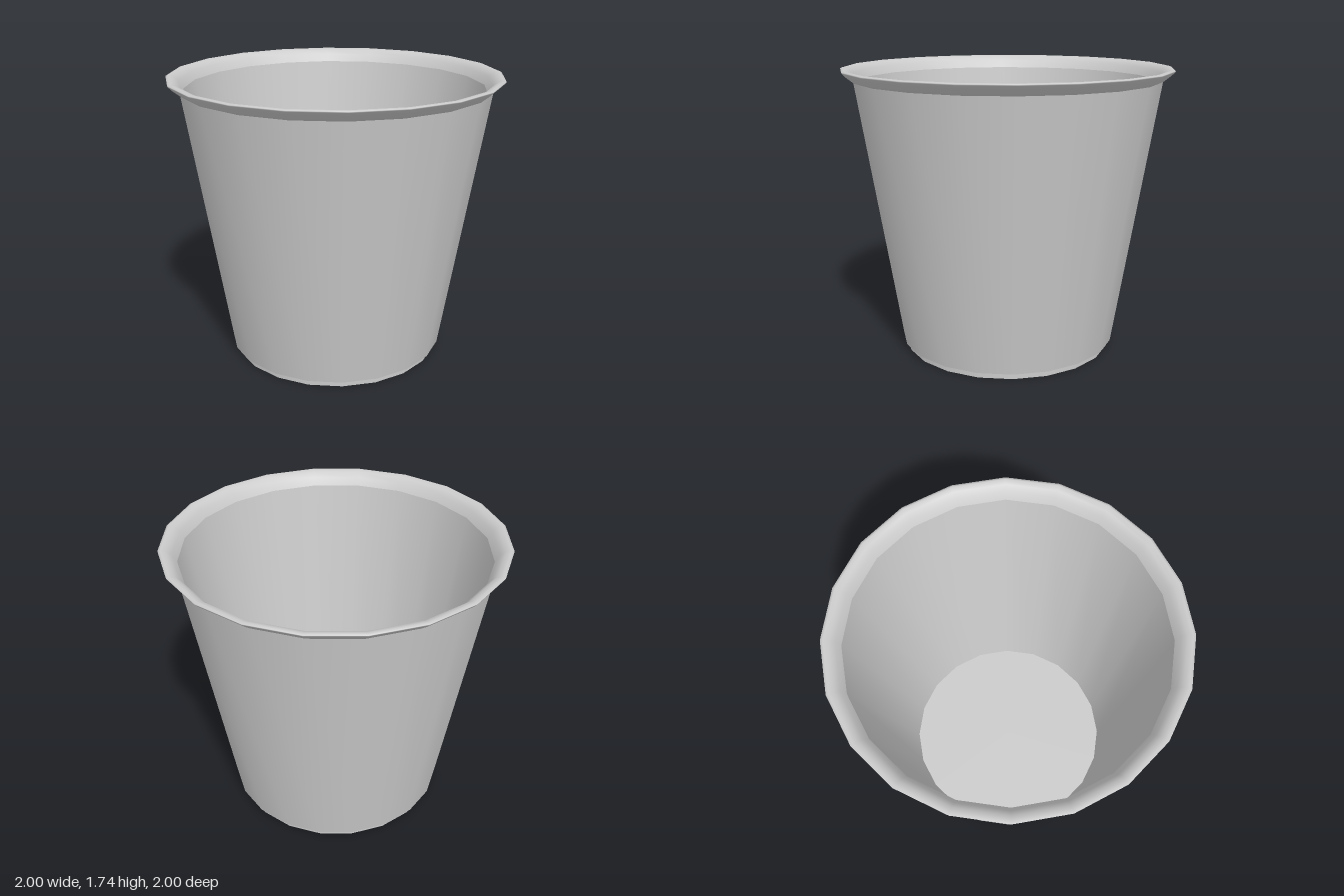
import * as THREE from 'three';

const SIDES = 20;

export function createModel() {
  const group = new THREE.Group();
  group.name = 'cup';
  const material = new THREE.MeshStandardMaterial({ color: 0xcccccc });

  // Each part is its own lathe, so edges between parts stay sharp.
  // Profiles run up the outside and down the inside to face outwards.
  const addLathe = (name, profile) => {
    const points = profile.map(([r, y]) => new THREE.Vector2(r, y));
    const mesh = new THREE.Mesh(new THREE.LatheGeometry(points, SIDES), material);
    mesh.name = name;
    group.add(mesh);
  };

  // Recessed foot
  addLathe('baseBottom', [[0, 0], [0.645, 0]]);
  addLathe('footRing', [[0.645, 0], [0.645, 0.04]]);
  addLathe('footStep', [[0.645, 0.04], [0.67, 0.04]]);

  // Tapered outer wall
  addLathe('outerWall', [[0.67, 0.04], [0.93, 1.67]]);

  // Flared, rounded lip
  addLathe('rim', [
    [0.93, 1.67], [0.975, 1.706], [0.997, 1.728], [1, 1.735], [0.985, 1.74],
    [0.955, 1.732], [0.925, 1.705], [0.9, 1.66],
  ]);

  // Inside of the cup
  addLathe('innerWall', [[0.9, 1.66], [0.64, 0.04]]);
  addLathe('innerFloor', [[0.64, 0.04], [0, 0.04]]);

  return group;
}
